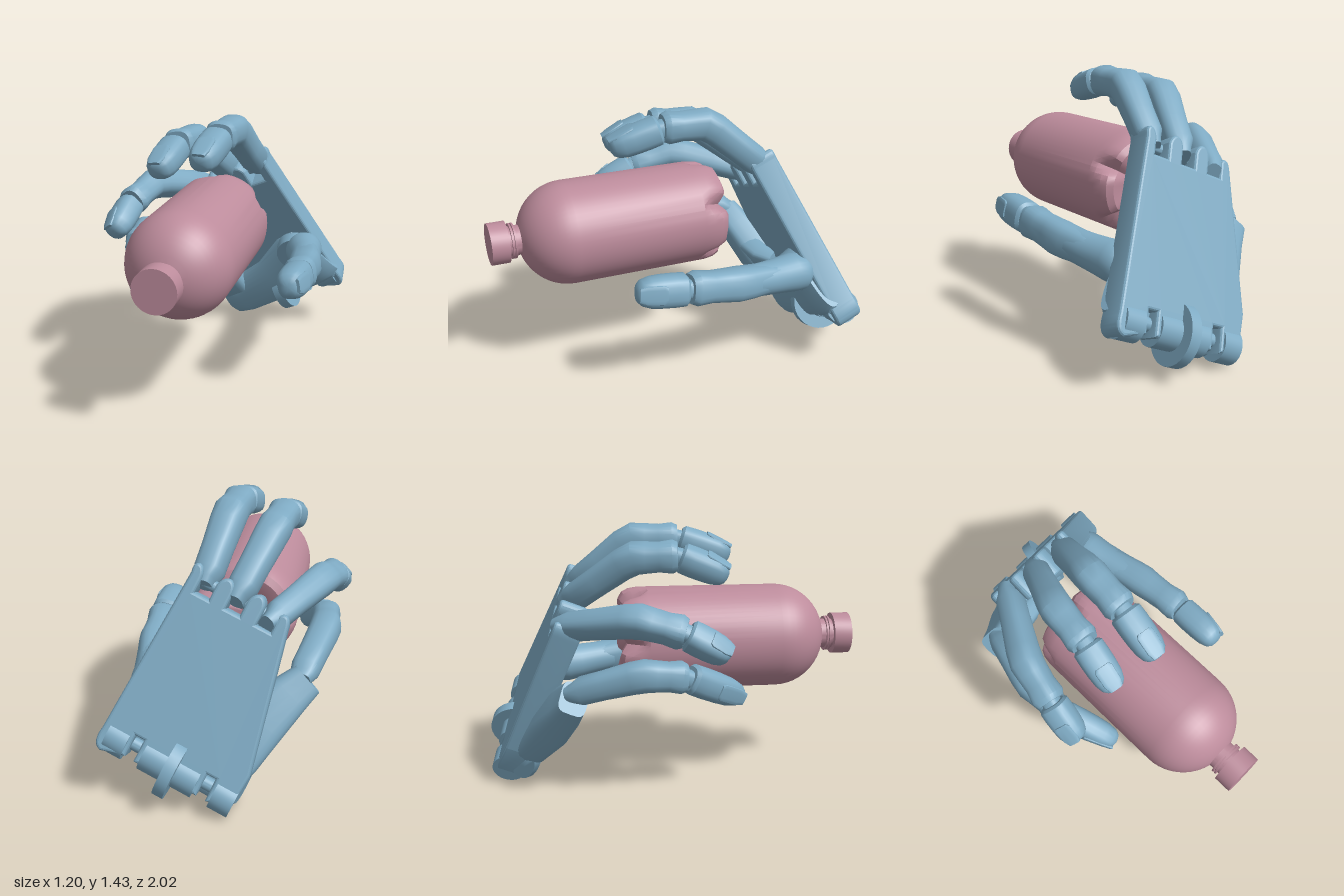
import * as THREE from 'three';
import { toCreasedNormals } from 'three/addons/utils/BufferGeometryUtils.js';

const V = (x, y, z) => new THREE.Vector3(x, y, z);
const skin = new THREE.MeshStandardMaterial({ color: 0x7fabc4 });
const pink = new THREE.MeshStandardMaterial({ color: 0xbd8c9c });

// Palm frame: A across the hand, L towards the fingers, N out of the palm
const L = V(-0.412, 0.84, 0.36).normalize();
const N = V(0.905, 0.4, 0.13).cross(L).normalize();
const A = L.clone().cross(N);
const O = V(0.23, 0.2, -0.86);
const P = (a, l, n) => O.clone().addScaledVector(A, a).addScaledVector(L, l).addScaledVector(N, n);

function part(name, geo, mat = skin, crease = 0.6) {
  const m = new THREE.Mesh(toCreasedNormals(geo, crease), mat);
  m.name = name;
  return m;
}

// Skin over rounded-square sections [point, halfWidth, halfHeight]
function loft(sections, up, seg = 20, power = 0.75) {
  const pos = [], idx = [], n = sections.length;
  const bend = v => Math.sign(v) * Math.abs(v) ** power;
  sections.forEach(([p, w, h], i) => {
    const t = sections[Math.min(i + 1, n - 1)][0].clone().sub(sections[Math.max(i - 1, 0)][0]).normalize();
    const r = up.clone().cross(t).normalize(), u = t.clone().cross(r);
    for (let j = 0; j < seg; j++) {
      const k = j / seg * Math.PI * 2;
      const q = p.clone().addScaledVector(r, w * bend(Math.cos(k))).addScaledVector(u, h * bend(Math.sin(k)));
      pos.push(q.x, q.y, q.z);
    }
  });
  const s = n * seg, last = (n - 1) * seg;
  pos.push(...sections[0][0].toArray(), ...sections[n - 1][0].toArray());
  for (let j = 0; j < seg; j++) {
    const k = (j + 1) % seg;
    for (let i = 0; i < last; i += seg) idx.push(i + j, i + k, i + seg + k, i + j, i + seg + k, i + seg + j);
    idx.push(s, k, j, s + 1, last + j, last + k);
  }
  const g = new THREE.BufferGeometry();
  g.setAttribute('position', new THREE.Float32BufferAttribute(pos, 3));
  g.setIndex(idx);
  return g;
}

// Bent body, hinge and separate fingertip with nail
function finger(name, [k, b, j, tip], r, up) {
  const g = new THREE.Group();
  g.name = name;
  const mix = (p, q, t) => p.clone().lerp(q, t);
  g.add(part('phalanges', loft([
    [k, r * 0.5, r * 0.65], [mix(k, b, 0.08), r * 0.6, r * 0.8], [mix(k, b, 0.2), r * 0.9, r * 0.92],
    [mix(k, b, 0.5), r * 0.92, r * 0.94], [mix(k, b, 0.87), r * 1.02, r], [mix(b, j, 0.08), r * 1.05, r * 1.02],
    [mix(b, j, 0.3), r, r * 0.95], [mix(b, j, 0.6), r * 0.95, r * 0.9], [mix(b, j, 0.88), r * 1.04, r], [j, r * 0.88, r * 0.84],
  ], up)));
  const d = tip.clone().sub(j).normalize();
  const u = up.clone().addScaledVector(d, -up.dot(d)).normalize();
  g.add(part('tipHinge', loft([[mix(b, j, 0.9), r * 0.6, r * 0.6], [mix(j, tip, 0.25), r * 0.6, r * 0.6]], up)));
  const profile = [[0.05, 0.8], [0.1, 0.98], [0.3, 1], [0.55, 0.98], [0.75, 0.92], [0.9, 0.76], [0.97, 0.54], [1, 0.25]];
  g.add(part('fingertip', loft(profile.map(([t, s]) =>
    [mix(j, tip, t).addScaledVector(u, -0.12 * r * t), r * s, r * s * 0.92]), up)));
  const nail = [[0.5, 0.45], [0.56, 0.58], [0.85, 0.56], [0.98, 0.42]];
  g.add(part('nail', loft(nail.map(([t, s]) =>
    [mix(j, tip, t).addScaledVector(u, r * (0.93 - 0.5 * t * t)), r * s, r * 0.12]), up, 16, 0.6)));
  return g;
}

function makePalm() {
  const palm = new THREE.Group();
  palm.name = 'palm';
  palm.position.copy(O);
  palm.quaternion.setFromRotationMatrix(new THREE.Matrix4().makeBasis(A, L, N));

  // Plate with slots for the finger roots and the wrist joint
  const s = new THREE.Shape();
  s.moveTo(-0.34, 0.03);
  for (const x of [-0.2, 0.2]) {
    s.lineTo(x - 0.04, 0); s.lineTo(x - 0.04, 0.12); s.lineTo(x + 0.04, 0.12); s.lineTo(x + 0.04, 0);
  }
  s.lineTo(0.35, -0.03);
  s.quadraticCurveTo(0.39, -0.02, 0.375, 0.06);
  s.lineTo(0.335, 0.95);
  for (const x of [0.25, 0.08, -0.09]) {
    s.bezierCurveTo(x + 0.1, 1, x + 0.065, 1, x + 0.055, 0.95);
    s.lineTo(x + 0.055, 0.85);
    s.lineTo(x - 0.055, 0.85);
    s.lineTo(x - 0.055, 0.95);
  }
  s.quadraticCurveTo(-0.17, 0.98, -0.185, 0.9);
  s.lineTo(-0.35, 0.2);
  s.closePath();
  const plate = new THREE.ExtrudeGeometry(s, {
    depth: 0.115, bevelThickness: 0.02, bevelSize: 0.016, bevelSegments: 3, curveSegments: 10,
  });
  palm.add(part('palmPlate', plate.translate(0, 0, -0.065), skin, 0.3));

  // Wrist barrels either side of the slots, and the ear between them
  const barrel = (name, x, l, n, r, w) => new THREE.CylinderGeometry(r, r, w, 32).rotateZ(Math.PI / 2).translate(x, l, n);
  const addBarrel = (name, ...size) => palm.add(part(name, barrel(name, ...size)));
  for (const [x, w] of [[-0.3, 0.11], [0, 0.3], [0.3, 0.11]]) addBarrel('wristBarrel', x, 0.04, -0.008, 0.093, w);
  addBarrel('wristPin', 0, 0.05, -0.01, 0.035, 0.62);
  addBarrel('wristEar', -0.005, 0.035, -0.005, 0.16, 0.06);

  // Hinge pins at the finger roots
  for (const x of [0.25, 0.08, -0.09]) addBarrel('knucklePin', x, 0.93, 0, 0.03, 0.13);
  return palm;
}

function makeBottle() {
  const bottle = new THREE.Group();
  bottle.name = 'bottle';
  bottle.position.set(-0.06, 0.82, 0);
  const R = 0.28, pts = [[0, -0.22], [0.08, -0.23], [0.16, -0.265], [0.22, -0.275], [0.255, -0.255], [0.272, -0.22], [R, -0.17], [R, -0.12], [R, 0.58]];
  for (let i = 1; i <= 10; i++) {
    const t = i / 10 * 1.28;
    pts.push([R * Math.cos(t), 0.58 + 0.27 * Math.sin(t)]);
  }
  pts.push([0.08, 0.845], [0.08, 0.865], [0.095, 0.865], [0.095, 0.875], [0.08, 0.875], [0.08, 0.88], [0.095, 0.88], [0.095, 0.89], [0.08, 0.89], [0.08, 0.91]);
  const body = new THREE.LatheGeometry(pts.map(p => new THREE.Vector2(...p)), 60).rotateX(Math.PI / 2);
  // Press five grooves into the base
  const p = body.attributes.position;
  for (let i = 0; i < p.count; i++) {
    const x = p.getX(i), y = p.getY(i), z = p.getZ(i), step = Math.PI * 0.4;
    const t = THREE.MathUtils.clamp((-0.12 - z) / 0.12, 0, 1);
    const k = (Math.atan2(y, x) - 0.52 + 4 * Math.PI + step / 2) % step - step / 2;
    const f = Math.max(0, 1 - Math.abs(k) / 0.25) * t;
    const r = 1 - 0.18 * f;
    p.setXYZ(i, x * r, y * r, z + 0.05 * f * Math.hypot(x, y) / R);
  }
  bottle.add(part('bottleBody', body, pink, 0.5));
  bottle.add(part('bottleCap', new THREE.CylinderGeometry(0.112, 0.112, 0.095, 40).rotateX(Math.PI / 2).translate(0, 0, 0.9525), pink));
  return bottle;
}

export function createModel() {
  const model = new THREE.Group();
  const hand = new THREE.Group();
  hand.name = 'hand';
  model.add(hand, makeBottle());
  hand.add(makePalm());

  // Fleshy pads of the palm
  hand.add(part('heelPad', loft([
    [P(-0.365, 0.1, 0.06), 0.09, 0.055], [P(-0.34, 0.1, 0.065), 0.12, 0.075], [P(-0.26, 0.11, 0.07), 0.135, 0.085],
    [P(0, 0.15, 0.05), 0.17, 0.07], [P(0.22, 0.23, 0.05), 0.22, 0.08], [P(0.31, 0.25, 0.045), 0.22, 0.075], [P(0.345, 0.26, 0.035), 0.19, 0.055],
  ], N, 28, 0.8)));
  hand.add(part('littleFingerMetacarpal', loft([
    [P(-0.28, 0.12, 0.03), 0.07, 0.06], [P(-0.28, 0.2, 0.065), 0.1, 0.09], [P(-0.29, 0.42, 0.105), 0.13, 0.11],
    [P(-0.35, 0.62, 0.13), 0.11, 0.09], [P(-0.395, 0.73, 0.135), 0.09, 0.075],
  ], N, 24, 0.5)));
  hand.add(part('palmRidge', loft([
    [P(-0.3, 0.52, 0.15), 0.07, 0.07], [P(-0.16, 0.42, 0.13), 0.055, 0.06], [P(-0.09, 0.37, 0.09), 0.04, 0.045],
  ], N, 16, 0.6)));

  // Fingers: root, bend, last joint, tip
  hand.add(finger('indexFinger', [V(0.1, 1.08, -0.52), V(0.02, 1.355, -0.2), V(0, 1.355, 0.05), V(-0.035, 1.275, 0.335)], 0.084, V(0, 1, 0.1)));
  hand.add(finger('middleFinger', [V(-0.06, 1.02, -0.56), V(-0.21, 1.29, -0.21), V(-0.24, 1.3, 0.03), V(-0.28, 1.21, 0.29)], 0.084, V(-0.15, 1, 0.1)));
  hand.add(finger('ringFinger', [V(-0.22, 0.93, -0.61), V(-0.46, 1.02, -0.2), V(-0.51, 0.96, 0.04), V(-0.54, 0.85, 0.265)], 0.081, V(-0.6, 0.75, 0)));
  hand.add(finger('littleFinger', [V(-0.39, 0.62, -0.56), V(-0.49, 0.74, -0.18), V(-0.475, 0.72, 0.05), V(-0.36, 0.565, 0.36)], 0.08, V(-0.95, 0.05, 0)));

  // Thumb swelling into its round root and socket
  const thumb = finger('thumb', [V(0.38, 0.565, -0.56), V(0.44, 0.595, -0.22), V(0.455, 0.635, 0.08), V(0.455, 0.665, 0.37)], 0.088, V(1, 0.2, 0));
  const root = [[0.362, 0.555, -0.68, 0.05], [0.364, 0.557, -0.66, 0.085], [0.367, 0.558, -0.62, 0.106], [0.372, 0.56, -0.56, 0.108],
    [0.385, 0.565, -0.49, 0.1], [0.405, 0.575, -0.4, 0.093], [0.425, 0.587, -0.3, 0.088]];
  thumb.add(part('thumbRoot', loft(root.map(([x, y, z, r]) => [V(x, y, z), r, r]), V(0, 1, 0), 28, 1)));
  const socket = part('thumbSocket', new THREE.CylinderGeometry(0.115, 0.13, 0.09, 36));
  socket.position.copy(P(0.24, 0.33, 0.09));
  socket.quaternion.setFromUnitVectors(V(0, 1, 0), N);
  thumb.add(socket);
  hand.add(thumb);
  return model;
}
